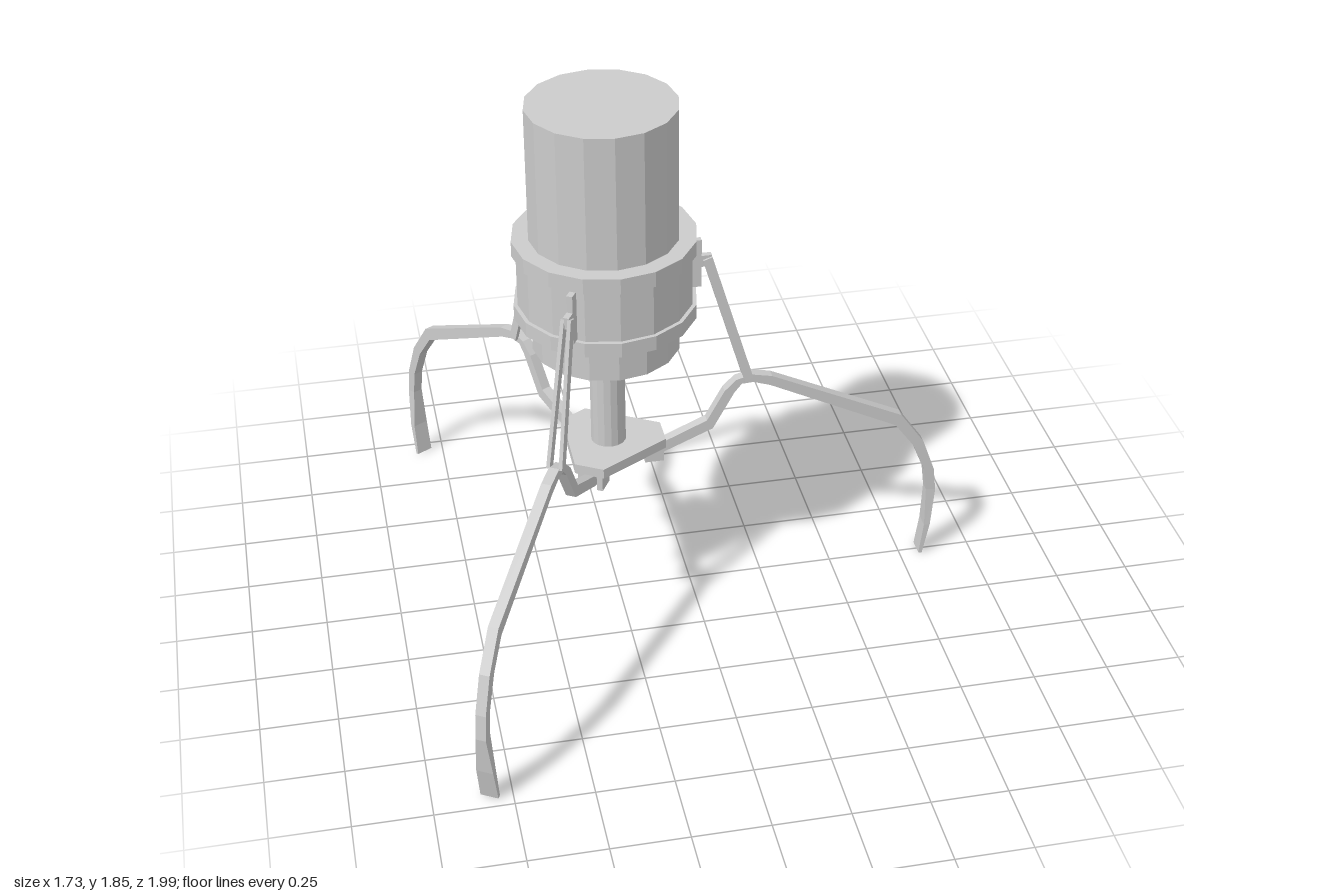
import * as THREE from 'three';

const material = new THREE.MeshStandardMaterial({ color: 0xcccccc, flatShading: true });

function part(name, geometry, x = 0, y = 0, z = 0) {
  const mesh = new THREE.Mesh(geometry, material);
  mesh.name = name;
  mesh.position.set(x, y, z);
  return mesh;
}

// 16-sided upright cylinder between two heights
function drum(name, radius, y0, y1) {
  return part(name, new THREE.CylinderGeometry(radius, radius, y1 - y0, 16), 0, (y0 + y1) / 2, 0);
}

// Rectangular-section bar; each row is [upper r, upper y, lower r, lower y, half width]
function bar(rows) {
  const pos = [], idx = [];
  rows.forEach(([ur, uy, lr, ly, w]) => pos.push(ur, uy, w, ur, uy, -w, lr, ly, -w, lr, ly, w));
  for (let i = 0; i < rows.length - 1; i++) {
    for (let k = 0; k < 4; k++) {
      const a = i * 4 + k, b = i * 4 + (k + 1) % 4;
      idx.push(a, a + 4, b, b, a + 4, b + 4);
    }
  }
  const e = (rows.length - 1) * 4;
  idx.push(0, 1, 2, 0, 2, 3, e, e + 2, e + 1, e, e + 3, e + 2);
  const g = new THREE.BufferGeometry();
  g.setAttribute('position', new THREE.Float32BufferAttribute(pos, 3));
  g.setIndex(idx);
  const flat = g.toNonIndexed();
  flat.computeVertexNormals();
  return flat;
}

// Crank and claw profile, from the plate pivot out to the tip
const W = 0.017;
const fingerRows = [
  [0.13, 0.573, 0.13, 0.537, W],
  [0.178, 0.59, 0.178, 0.55, W],
  [0.329, 0.657, 0.349, 0.623, W],
  [0.388, 0.765, 0.422, 0.757, W],
  [0.427, 0.804, 0.446, 0.787, W],
  [0.480, 0.819, 0.485, 0.789, W],
  [0.549, 0.804, 0.542, 0.77, W],
  [1.002, 0.588, 0.983, 0.549, W],
  [1.085, 0.470, 1.051, 0.456, W],
  [1.129, 0.348, 1.095, 0.348, W],
  [1.139, 0.260, 1.105, 0.265, W],
  [1.124, 0.120, 1.103, 0.120, 0.028],
  [1.100, 0.000, 1.088, 0.004, 0.03],
];

function makeFinger() {
  const finger = new THREE.Group();
  finger.name = 'finger';
  finger.add(part('claw', bar(fingerRows)));

  // Tab on the collar with a small pivot nose
  finger.add(part('collarTab', new THREE.BoxGeometry(0.04, 0.17, 0.02), 0.291, 1.258, 0));
  finger.add(part('tabNose', new THREE.BoxGeometry(0.035, 0.04, 0.02), 0.327, 1.265, 0));

  for (const s of [1, -1]) {
    // Splayed fork link from the tab to the claw knee
    const link = bar([
      [0.345, 1.28, 0.315, 1.27, 0.006],
      [0.482, 0.815, 0.455, 0.797, 0.006],
    ]);
    const p = link.attributes.position;
    for (let i = 0; i < p.count; i++) {
      const t = (1.28 - p.getY(i)) / 0.48;
      p.setZ(i, p.getZ(i) + s * (0.011 + 0.01 * t));
    }
    link.computeVertexNormals();
    finger.add(part('forkLink', link));
    // Lug under the plate
    finger.add(part('plateLug', new THREE.BoxGeometry(0.063, 0.056, 0.02), 0.146, 0.563, s * 0.033));
  }
  return finger;
}

// Triangular plate with cut corners
function makePlate() {
  const shape = new THREE.Shape();
  const pts = [];
  for (let i = 0; i < 3; i++) {
    const a = i * Math.PI * 2 / 3;
    for (const w of [-0.05, 0.05]) {
      pts.push(new THREE.Vector2(0.183, w).rotateAround(new THREE.Vector2(), a));
    }
  }
  shape.setFromPoints(pts);
  const g = new THREE.ExtrudeGeometry(shape, { depth: 0.035, bevelEnabled: false });
  g.rotateX(-Math.PI / 2);
  return part('plate', g, 0, 0.59, 0);
}

export function createModel() {
  const model = new THREE.Group();
  model.name = 'threeFingerGripper';
  const gripper = new THREE.Group();
  gripper.name = 'gripper';
  gripper.position.x = -0.273;

  // Body, collar and stem
  gripper.add(
    drum('body', 0.24, 1.0, 1.85),
    drum('collar', 0.282, 1.15, 1.36),
    drum('upperFlange', 0.295, 1.348, 1.4),
    drum('lowerFlange', 0.295, 1.12, 1.17),
    drum('stem', 0.058, 0.61, 1.01),
    makePlate(),
  );

  // Three equal fingers around the axis
  for (let i = 0; i < 3; i++) {
    const finger = makeFinger();
    finger.rotation.y = i * Math.PI * 2 / 3;
    gripper.add(finger);
  }
  model.add(gripper);
  return model;
}
